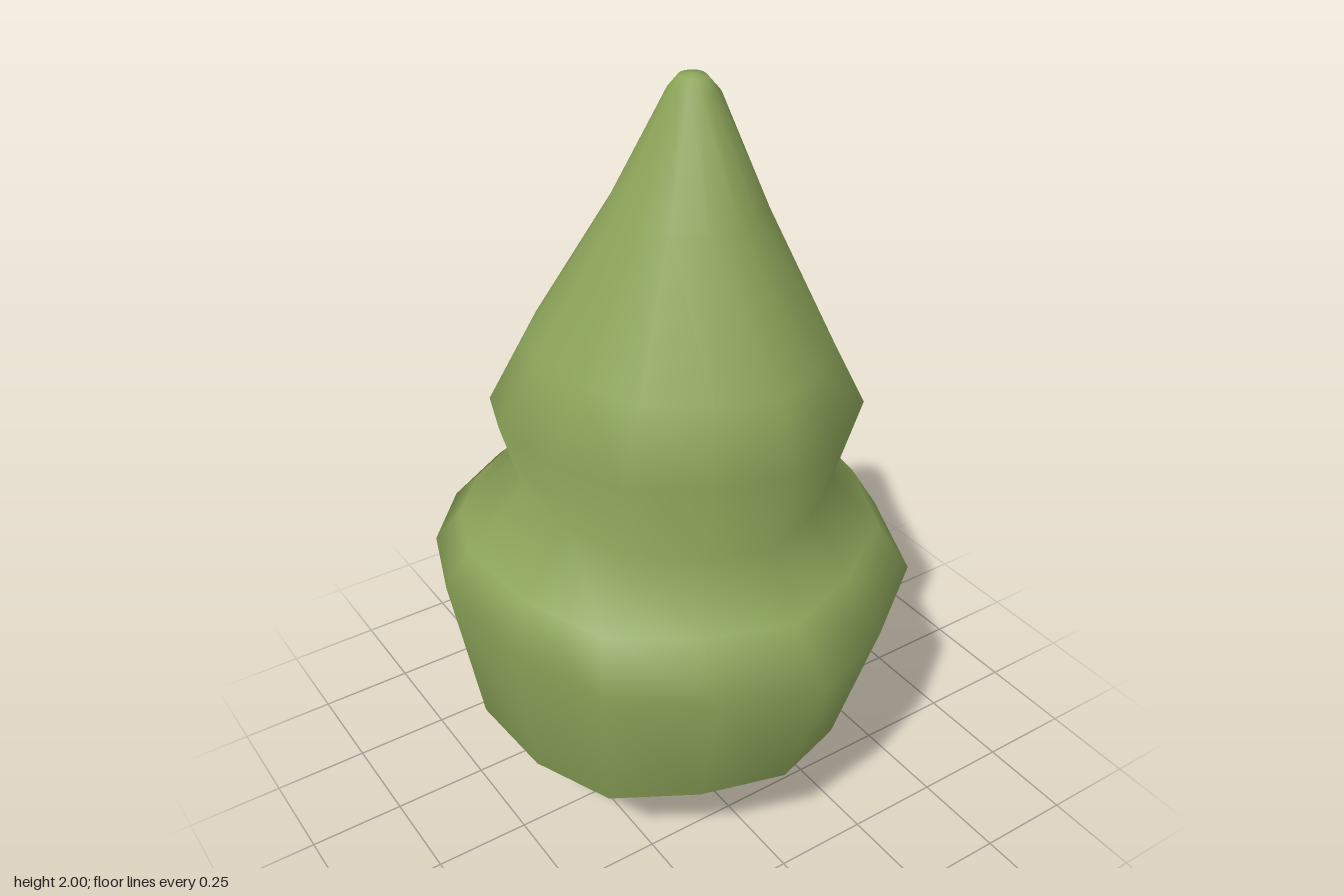
import * as THREE from 'three';
import { mergeVertices } from 'three/addons/utils/BufferGeometryUtils.js';

// Half outline of the foliage seen from above, back to front: [x, depth], x 0..1, depth 0..1
const HALF = [
  [0, 0], [0.355, 0.03], [0.67, 0.113], [0.89, 0.227], [1, 0.377],
  [0.95, 0.6], [0.78, 0.806], [0.407, 0.93], [0, 1],
];
const OUTLINE = [...HALF, ...HALF.slice(1, -1).reverse().map(([x, d]) => [-x, d])];

// Foliage rings, bottom to top: [half width, back z, front z, height, tilt, bow]
const RINGS = [
  [0, 0.01, 0.01, 0.25, 0, 0],
  [0.13, -0.12, 0.15, 0.25, -0.08, 0.2],
  [0.46, -0.515, 0.44, 0.258, -0.084, 0.28],
  [0.51, -0.545, 0.485, 0.282, -0.084, 0.28],
  [0.59, -0.615, 0.617, 0.735, -0.085, 0],
  [0.53, -0.52, 0.5, 0.835, -0.07, 0],
  [0.385, -0.4, 0.4, 0.987, -0.08, 0],
  [0.44, -0.44, 0.468, 1.19, 0.01, 0],
  [0.345, -0.36, 0.405, 1.36, 0, 0],
  [0.17, -0.145, 0.245, 1.7, 0, 0],
  [0.055, 0, 0.128, 1.965, 0, 0],
  [0.03, 0.025, 0.095, 1.995, 0, 0],
  [0, 0.06, 0.06, 2, 0, 0],
];

// Skin stacked rings into one smooth closed surface
function loftRings() {
  const n = OUTLINE.length;
  const positions = [];
  const index = [];
  for (const [w, back, front, h, tilt, bow] of RINGS) {
    for (const [x, d] of OUTLINE) {
      const z = back + (front - back) * d;
      positions.push(x * w, h + tilt * z + bow * z * z, z);
    }
  }
  for (let r = 0; r < RINGS.length - 1; r++) {
    for (let i = 0; i < n; i++) {
      const j = (i + 1) % n;
      const a = r * n + i, b = r * n + j, c = a + n, d = b + n;
      if (r < RINGS.length - 2) index.push(a, c, d);
      if (r > 0) index.push(a, d, b);
    }
  }
  const geometry = new THREE.BufferGeometry();
  geometry.setAttribute('position', new THREE.Float32BufferAttribute(positions, 3));
  geometry.setIndex(index);
  const merged = mergeVertices(geometry);
  merged.computeVertexNormals();
  return merged;
}

export function createModel() {
  const group = new THREE.Group();
  group.name = 'tree';

  // Two-tiered foliage
  const foliage = new THREE.Mesh(loftRings(), new THREE.MeshStandardMaterial({ color: 0x8da55a }));
  foliage.name = 'foliage';
  group.add(foliage);

  // Short trunk, running up into the foliage
  const trunk = new THREE.Mesh(
    new THREE.CylinderGeometry(0.112, 0.112, 0.32, 8),
    new THREE.MeshStandardMaterial({ color: 0xa87355 }),
  );
  trunk.name = 'trunk';
  trunk.position.set(0, 0.16, 0.013);
  group.add(trunk);

  return group;
}
